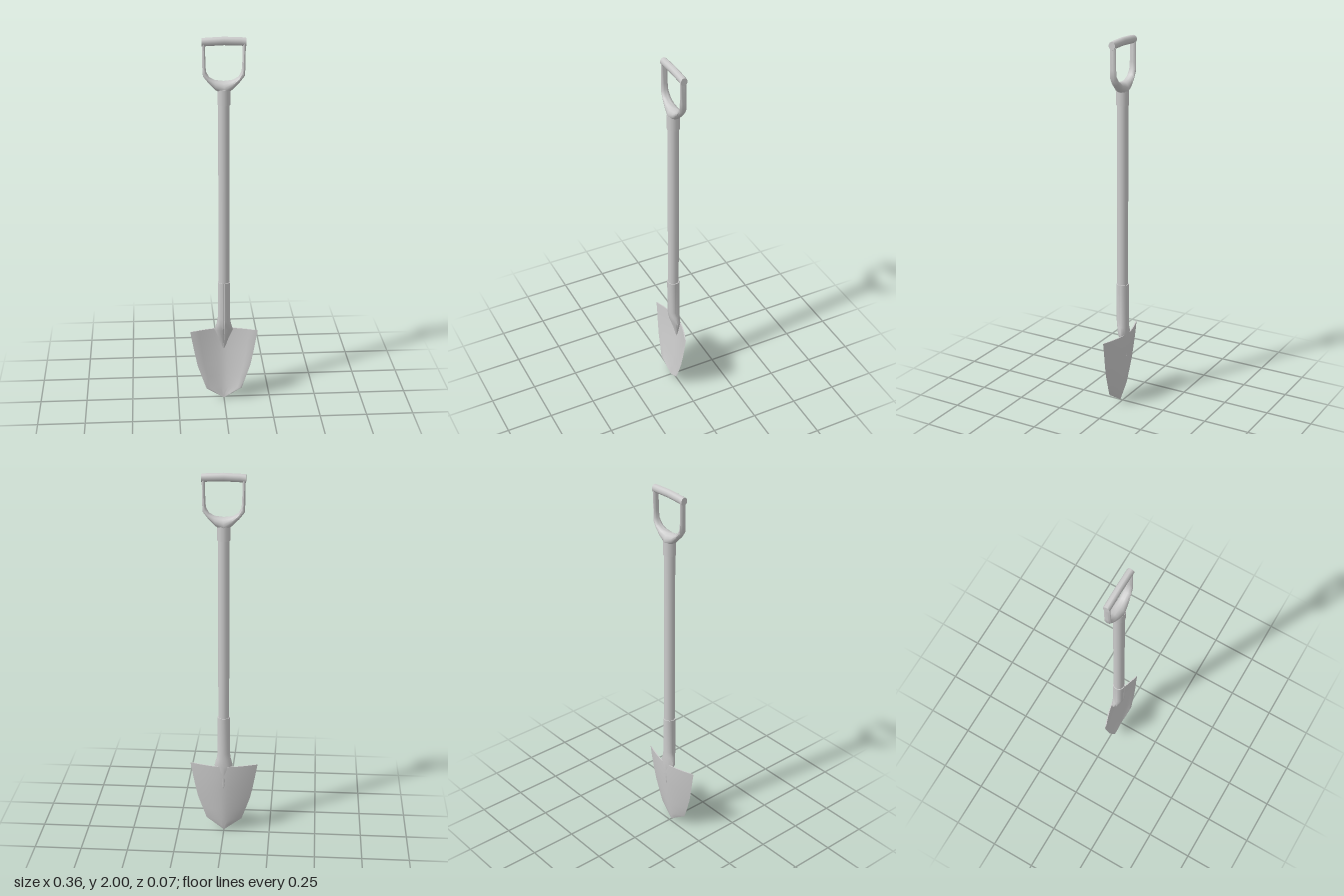
import * as THREE from 'three';
import { toCreasedNormals } from 'three/addons/utils/BufferGeometryUtils.js';

const material = new THREE.MeshStandardMaterial({ color: 0xcccccc });

// Skins a list of closed rings (arrays of Vector3); cap closes both ends with a fan.
function loft(rings, cap = true, crease = 0.75) {
  if (cap) {
    const collapse = (ring) => {
      const c = new THREE.Vector3();
      ring.forEach((p) => c.add(p));
      c.divideScalar(ring.length);
      return ring.map(() => c);
    };
    rings = [collapse(rings[0]), ...rings, collapse(rings[rings.length - 1])];
  }
  const tris = [];
  let volume = 0;
  const add = (a, b, c) => {
    const normal = b.clone().sub(a).cross(c.clone().sub(a));
    if (normal.length() < 1e-10) return;
    volume += a.dot(b.clone().cross(c));
    tris.push([a, b, c]);
  };
  for (let i = 0; i < rings.length - 1; i++) {
    const n = rings[i].length;
    for (let j = 0; j < n; j++) {
      const k = (j + 1) % n;
      add(rings[i][j], rings[i][k], rings[i + 1][k]);
      add(rings[i][j], rings[i + 1][k], rings[i + 1][j]);
    }
  }
  const pts = tris.flatMap(([a, b, c]) => (volume < 0 ? [a, c, b] : [a, b, c]));
  const geometry = new THREE.BufferGeometry().setFromPoints(pts);
  return toCreasedNormals(geometry, crease);
}

// Oval ring spanning two points in the xy plane, with half depth d along z.
function barRing([ix, iy, ox, oy, d], sides = 12) {
  return Array.from({ length: sides }, (_, j) => {
    const a = ((j + 0.5) / sides) * Math.PI * 2;
    const s = 0.5 + 0.5 * Math.cos(a) / Math.cos(Math.PI / sides);
    return new THREE.Vector3(ix + (ox - ix) * s, iy + (oy - iy) * s, -0.002 + d * Math.sin(a));
  });
}

export function createModel() {
  const group = new THREE.Group();
  const add = (name, geometry) => {
    const mesh = new THREE.Mesh(geometry, material);
    mesh.name = name;
    group.add(mesh);
    return mesh;
  };
  const tube = (name, r, y0, y1) => {
    const g = new THREE.CylinderGeometry(r, r, y1 - y0, 12);
    add(name, g).position.y = (y0 + y1) / 2;
  };

  // Shaft and upper collar
  tube('shaft', 0.029, 0.47, 1.68);
  tube('handleCollar', 0.033, 1.655, 1.735);

  // Forked yoke: inner x, inner y, outer x, outer y, half depth
  const half = [
    [0, 1.775, 0, 1.705, 0.034],
    [0.045, 1.781, 0.042, 1.732, 0.027],
    [0.074, 1.797, 0.078, 1.768, 0.022],
    [0.089, 1.825, 0.105, 1.802, 0.019],
    [0.092, 1.86, 0.108, 1.85, 0.017],
    [0.094, 1.975, 0.109, 1.975, 0.016],
  ];
  const mirrored = half.slice(1).reverse().map(([a, b, c, d, e]) => [-a, b, -c, d, e]);
  add('handleYoke', loft([...mirrored, ...half].map((s) => barRing(s))));

  // Cross grip, slightly arched
  const grip = [-0.111, -0.085, 0, 0.085, 0.111].map((x) => {
    const drop = 0.006 * (x / 0.111) ** 2;
    return barRing([x, 1.959 - drop, x, 2 - drop, 0.018]);
  });
  add('grip', loft(grip));

  // Socket with a front seam, flaring and tapering into the blade: y, half width, front z, back z
  const socket = [
    [0.685, 0.033, 0.033, -0.033],
    [0.48, 0.033, 0.032, -0.033],
    [0.445, 0.038, 0.027, -0.033],
    [0.405, 0.05, 0.016, -0.033],
    [0.34, 0.024, -0.005, -0.029],
    [0.27, 0.001, -0.021, -0.025],
  ].map(([y, w, front, back]) => {
    const ring = [];
    const mid = (front + back) / 2, depth = (front - back) / 2;
    const sides = 14, gap = 0.1;
    for (let j = 0; j <= sides; j++) {
      const a = gap + (j / sides) * (Math.PI * 2 - gap * 2);
      ring.push(new THREE.Vector3(w * Math.sin(a), y, mid + depth * Math.cos(a)));
    }
    ring.push(new THREE.Vector3(0, y, mid + depth * 0.87));
    return ring;
  });
  add('socket', loft(socket));

  // Dished blade: y, half width, centre z, edge z, thickness
  const columns = 16;
  const blade = [
    [0.403, 0.182, -0.032, 0.015, 0],
    [0.403, 0.182, -0.032, 0.015, 0.006],
    [0.34, 0.171, -0.029, 0.016, 0.006],
    [0.27, 0.158, -0.023, 0.019, 0.006],
    [0.2, 0.143, -0.015, 0.022, 0.006],
    [0.13, 0.119, -0.007, 0.025, 0.006],
    [0.065, 0.096, 0.002, 0.028, 0.005],
    [0.03, 0.044, 0.008, 0.021, 0.004],
    [0, 0, 0.014, 0.014, 0],
  ].map(([y, w, centre, edge, t]) => {
    const point = (u, side) => {
      const z = centre + (edge - centre) * Math.abs(u) ** 1.6;
      const thick = t * Math.min(1, (1 - Math.abs(u)) * 8);
      return new THREE.Vector3(u * w, y, z + side * thick);
    };
    const ring = [];
    for (let j = 0; j < columns; j++) ring.push(point(-1 + (2 * j) / columns, 0));
    for (let j = 0; j < columns; j++) ring.push(point(1 - (2 * j) / columns, 1));
    return ring;
  });
  add('blade', loft(blade, false));

  return group;
}
